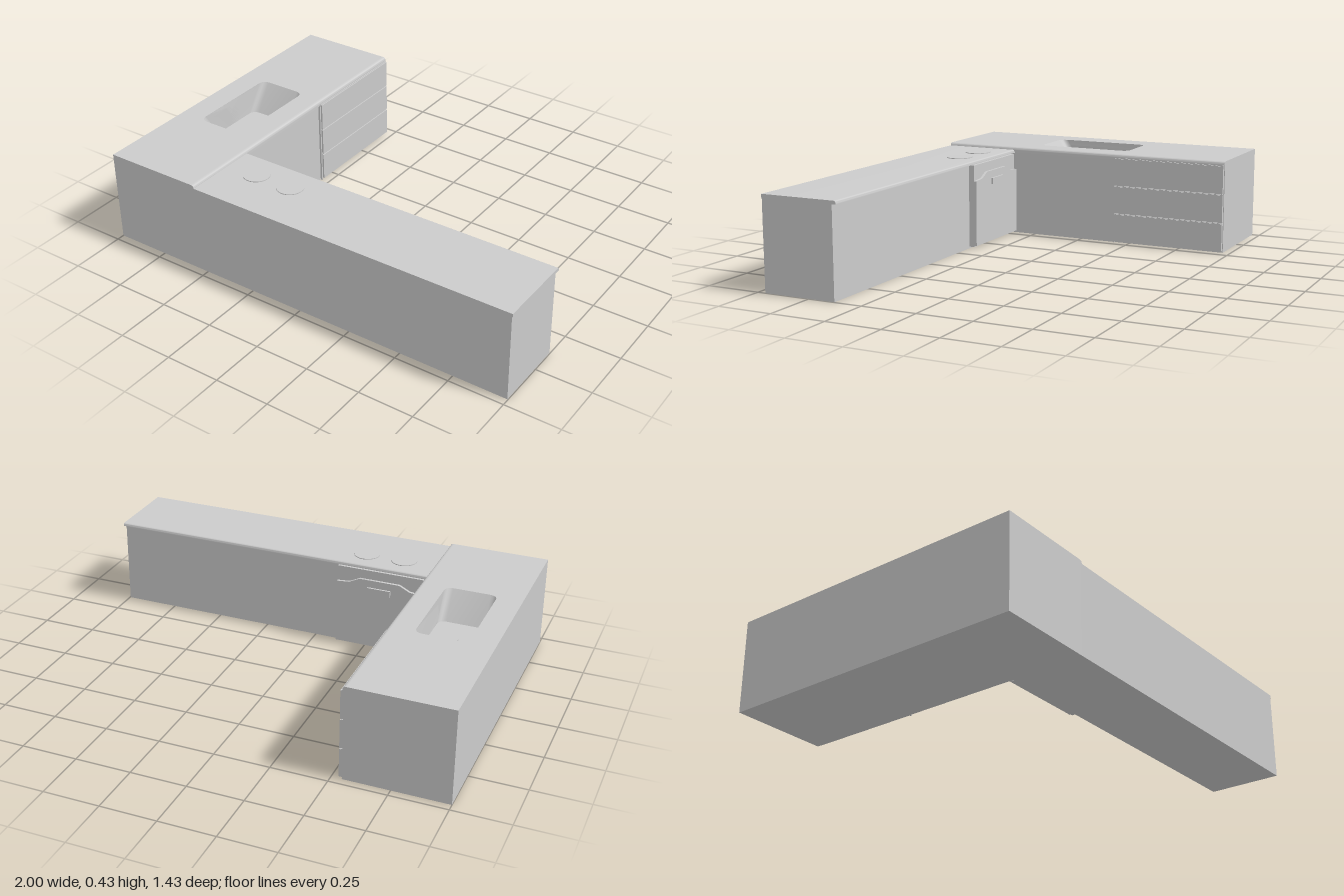
import * as THREE from 'three';
import { toCreasedNormals } from 'three/addons/utils/BufferGeometryUtils.js';

const grey = new THREE.MeshStandardMaterial({ color: 0xcccccc });
const greyDouble = new THREE.MeshStandardMaterial({ color: 0xcccccc, side: THREE.DoubleSide });

// Sink dimensions
const RIM = 0.425, FLOOR = 0.3;
const SINK = { x0: -0.887, x1: -0.655, r: 0.032 };

export function createModel() {
  const model = new THREE.Group();

  const add = (name, geometry, material = grey, parent = model) => {
    const mesh = new THREE.Mesh(geometry, material);
    mesh.name = name;
    parent.add(mesh);
    return mesh;
  };

  // Box given by its limits on each axis
  const box = (name, x0, x1, y0, y1, z0, z1, parent = model) =>
    add(name, new THREE.BoxGeometry(x1 - x0, y1 - y0, z1 - z0)
      .translate((x0 + x1) / 2, (y0 + y1) / 2, (z0 + z1) / 2), grey, parent);

  const extrude = (shape, depth) =>
    toCreasedNormals(new THREE.ExtrudeGeometry(shape, { depth, bevelEnabled: false, curveSegments: 6 }), 0.6);

  // Rounded sink outline as [x, z] points
  const sinkOutline = (zBack, zFront) => {
    const { x0, x1, r } = SINK, points = [];
    const corners = [[x1 - r, zFront - r, 0], [x0 + r, zFront - r, 1], [x0 + r, zBack + r, 2], [x1 - r, zBack + r, 3]];
    for (const [cx, cz, quarter] of corners) {
      for (let i = 0; i <= 4; i++) {
        const a = (quarter + i / 4) * Math.PI / 2;
        points.push([cx + r * Math.cos(a), cz + r * Math.sin(a)]);
      }
    }
    return points;
  };
  const rim = sinkOutline(-0.19, 0.265);
  const base = sinkOutline(-0.105, 0.182);

  // Horizontal slab of the sink wing with the sink cut out
  const slabWithHole = (name, x1, y0, y1) => {
    const shape = new THREE.Shape([[-1, -0.715], [x1, -0.715], [x1, 0.715], [-1, 0.715]]
      .map(([x, y]) => new THREE.Vector2(x, y)));
    shape.holes.push(new THREE.Path(rim.map(([x, z]) => new THREE.Vector2(x, -z))));
    add(name, extrude(shape, y1 - y0).rotateX(-Math.PI / 2).translate(0, y0, 0));
  };

  // Sink wing
  box('sinkCabinetLower', -1, -0.546, 0, FLOOR, -0.715, 0.715);
  slabWithHole('sinkCabinetUpper', -0.546, FLOOR, 0.4);
  slabWithHole('sinkWorktop', -0.555, 0.4, RIM);

  // Rounded worktop edge
  const edge = new THREE.Shape();
  edge.moveTo(-0.555, 0.4);
  edge.lineTo(-0.54, 0.4);
  edge.lineTo(-0.54, 0.41);
  edge.quadraticCurveTo(-0.54, RIM, -0.555, RIM);
  add('sinkWorktopEdge', extrude(edge, 1.43).translate(0, 0, -0.715));

  // Sink walls, lofted from the rim to the floor
  const positions = [], index = [], n = rim.length;
  for (let i = 0; i <= n; i++) {
    const [a, b] = [rim[i % n], base[i % n]];
    positions.push(a[0], RIM, a[1], b[0], FLOOR, b[1]);
    if (i < n) index.push(2 * i, 2 * i + 1, 2 * i + 2, 2 * i + 2, 2 * i + 1, 2 * i + 3);
  }
  const walls = new THREE.BufferGeometry();
  walls.setAttribute('position', new THREE.Float32BufferAttribute(positions, 3));
  walls.setIndex(index);
  add('sinkWalls', toCreasedNormals(walls, 0.6), greyDouble);
  add('sinkDrain', new THREE.CylinderGeometry(0.014, 0.014, 0.004, 24)).position.set(-0.77, FLOOR + 0.001, 0.04);

  // Drawers with shadow gaps
  const drawers = new THREE.Group();
  drawers.name = 'drawers';
  model.add(drawers);
  for (let i = 0; i < 3; i++) {
    const y = 0.008 + i * 0.134;
    box('drawerFront', -0.55, -0.531, y, y + 0.128, -0.712, -0.177, drawers);
    box('drawerLip', -0.55, -0.536, y + 0.128, y + 0.131, -0.712, -0.177, drawers);
  }
  box('drawerSidePanel', -0.55, -0.537, 0, 0.408, -0.175, -0.168, drawers);

  // Hob wing
  box('hobCabinet', -0.55, 0.997, 0, 0.396, 0.378, 0.715);
  const top = new THREE.Shape();
  top.moveTo(-0.715, 0.396);
  top.lineTo(-0.358, 0.396);
  top.lineTo(-0.358, 0.4);
  top.quadraticCurveTo(-0.358, 0.411, -0.37, 0.411);
  top.lineTo(-0.715, 0.411);
  add('hobWorktop', extrude(top, 1.55).rotateY(Math.PI / 2).translate(-0.55, 0, 0));

  // Hob plates
  for (const x of [-0.39, -0.21]) {
    add('hobPlate', new THREE.CylinderGeometry(0.06, 0.06, 0.004, 40)).position.set(x, 0.4125, 0.48);
  }

  // Oven: body, door with raised middle, handle
  const oven = new THREE.Group();
  oven.name = 'oven';
  model.add(oven);
  box('ovenBody', -0.525, -0.115, 0.008, 0.393, 0.352, 0.38, oven);
  const door = new THREE.Shape([[-0.525, 0.014], [-0.115, 0.014], [-0.115, 0.32], [-0.175, 0.325],
    [-0.225, 0.35], [-0.415, 0.35], [-0.465, 0.325], [-0.525, 0.32]]
    .map(([x, y]) => new THREE.Vector2(x, y)));
  add('ovenDoor', extrude(door, 0.014).translate(0, 0, 0.34), grey, oven);
  box('ovenHandle', -0.375, -0.265, 0.285, 0.315, 0.331, 0.342, oven);

  return model;
}
